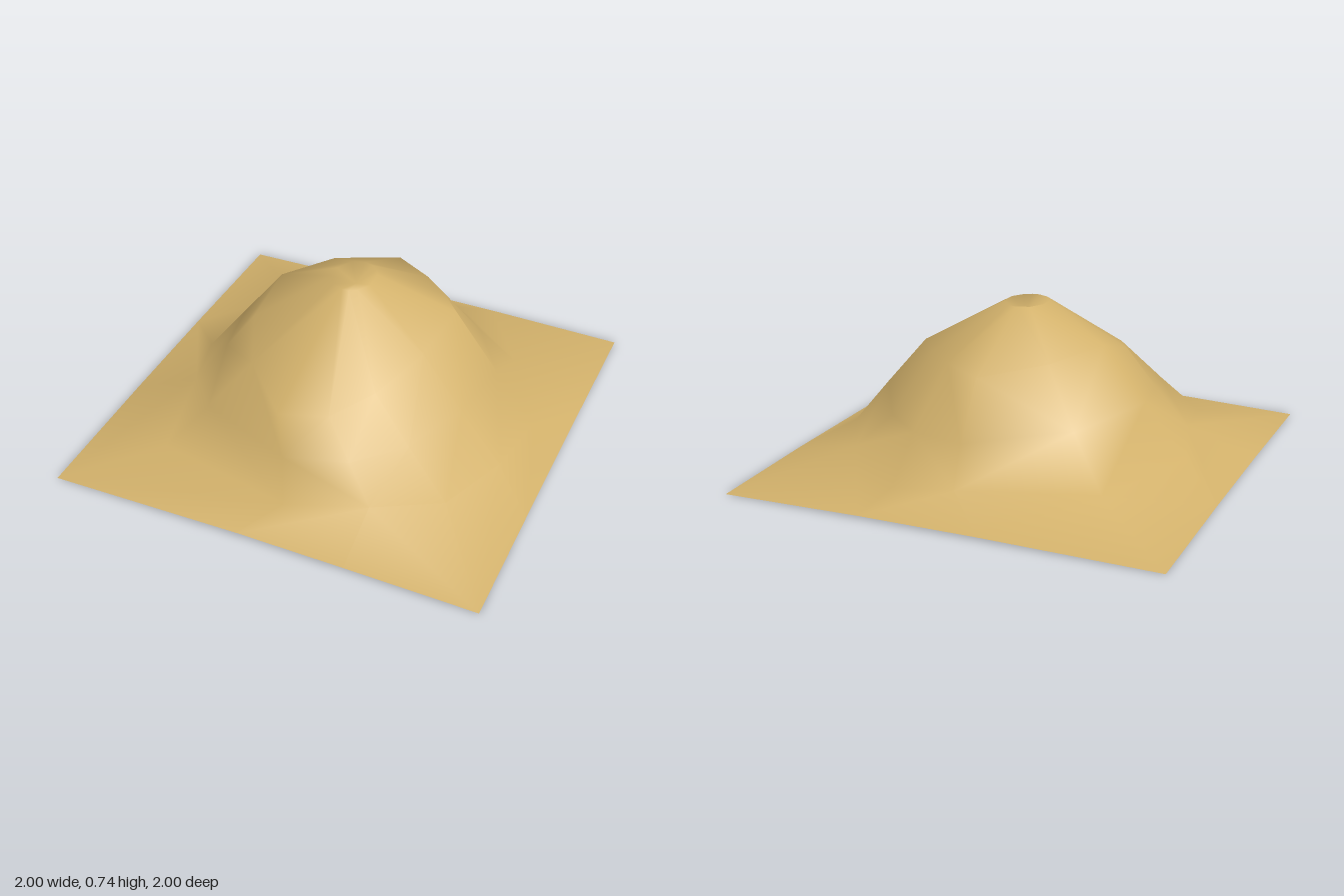
import * as THREE from 'three';

// Cross-section rings from the rim up to the shoulder. Twelve points each,
// starting at the right (+x) and going round by way of the front, left and back.
const rings = [
  // square rim
  [[1, 0.01, -0.4], [1, 0.01, 0.4], [1, 0, 1], [0.4, 0.01, 1], [-0.1, 0.015, 1], [-1, 0, 1],
    [-1, 0.01, 0.3], [-1, 0.01, -0.3], [-1, 0, -1], [-0.2, 0.01, -1], [0.35, 0.01, -1], [1, 0, -1]],
  // foot of the slope
  [[0.85, 0.08, -0.13], [0.8, 0.08, 0.2], [0.67, 0.07, 0.52], [0.4, 0.12, 0.73], [0.05, 0.1, 0.84], [-0.62, 0.07, 0.68],
    [-0.69, 0.14, 0.26], [-0.78, 0.1, -0.05], [-0.59, 0.1, -0.6], [0, 0.1, -0.79], [0.28, 0.08, -0.82], [0.63, 0.11, -0.51]],
  // middle of the slope
  [[0.65, 0.31, -0.15], [0.6, 0.3, 0.17], [0.47, 0.27, 0.46], [0.28, 0.28, 0.67], [0, 0.27, 0.74], [-0.46, 0.26, 0.55],
    [-0.55, 0.33, 0.2], [-0.59, 0.345, -0.07], [-0.42, 0.32, -0.49], [0.03, 0.26, -0.66], [0.28, 0.26, -0.61], [0.46, 0.27, -0.47]],
  // shoulder
  [[0.43, 0.55, -0.19], [0.4, 0.53, 0.14], [0.29, 0.47, 0.41], [0.15, 0.43, 0.59], [-0.06, 0.42, 0.65], [-0.3, 0.46, 0.42],
    [-0.42, 0.51, 0.16], [-0.4, 0.59, -0.09], [-0.25, 0.56, -0.36], [0.01, 0.52, -0.545], [0.2, 0.53, -0.43], [0.33, 0.54, -0.31]],
];
const n = rings[0].length;

// crest around the dimple, in line with the shoulder points
rings.push(rings[3].map(([x, , z]) => {
  const a = Math.atan2(z, x);
  return [0.1 * Math.cos(a), 0.735, -0.02 + 0.12 * Math.sin(a)];
}));

function moundGeometry() {
  const points = [...rings.flat(), [0, 0.68, -0.04]];
  const index = [];
  for (let r = 0; r < rings.length - 1; r++) {
    for (let i = 0; i < n; i++) {
      const j = (i + 1) % n;
      const a = r * n + i, b = r * n + j, c = a + n, d = b + n;
      // split each quad along its higher diagonal, so the slope bulges
      if (points[a][1] + points[d][1] > points[b][1] + points[c][1]) index.push(a, c, d, a, d, b);
      else index.push(a, c, b, b, c, d);
    }
  }
  // dimple at the top
  const crest = (rings.length - 1) * n;
  for (let i = 0; i < n; i++) index.push(crest + i, points.length - 1, crest + ((i + 1) % n));

  const geometry = new THREE.BufferGeometry();
  geometry.setAttribute('position', new THREE.Float32BufferAttribute(points.flat(), 3));
  geometry.setIndex(index);
  geometry.computeVertexNormals();
  return geometry;
}

export function createModel() {
  const group = new THREE.Group();
  group.name = 'sandMound';
  const sand = new THREE.MeshStandardMaterial({ color: 0xd2b16b, side: THREE.DoubleSide });
  sand.name = 'sand';
  const mound = new THREE.Mesh(moundGeometry(), sand);
  mound.name = 'mound';
  group.add(mound);
  return group;
}
